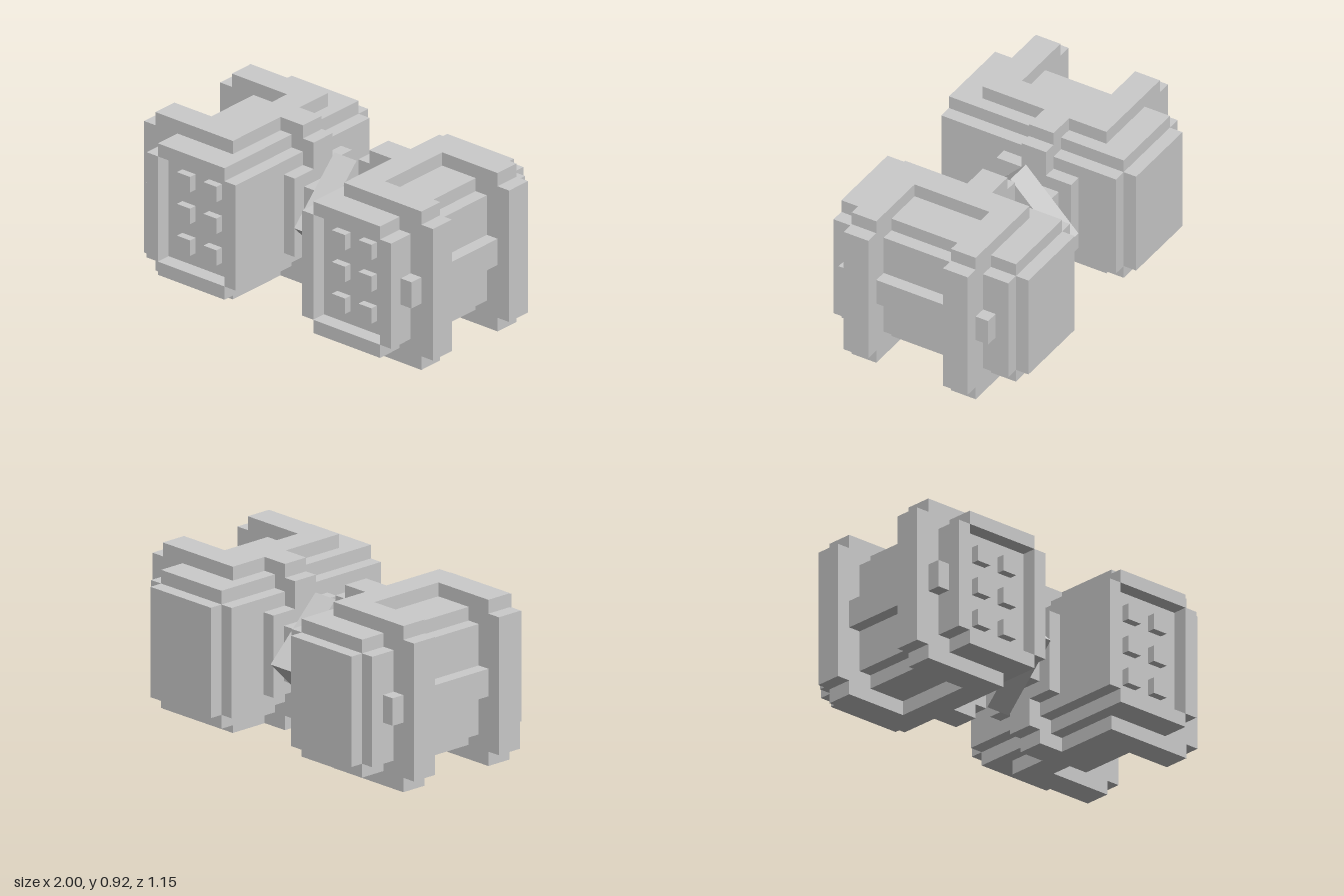
import * as THREE from 'three';

const grey = new THREE.MeshStandardMaterial({ color: 0xcccccc, flatShading: true });

// Box from its limits on each axis
function block(parent, name, [x0, x1], [y0, y1], [z0, z1]) {
  const mesh = new THREE.Mesh(new THREE.BoxGeometry(Math.abs(x1 - x0), y1 - y0, z1 - z0), grey);
  mesh.name = name;
  mesh.position.set((x0 + x1) / 2, (y0 + y1) / 2, (z0 + z1) / 2);
  parent.add(mesh);
  return mesh;
}

// Rectangle with notched corners, extruded along z, with an optional window
function notchedSlab(parent, name, s, [z0, z1], windowed) {
  const [a, b, c, d] = [0.23, 0.307, 0.769, 0.846].map(x => x * s);
  const [e, f, g, h] = [0.08, 0.157, 0.77, 0.846];
  const toPoints = list => list.map(p => new THREE.Vector2(...p));
  const shape = new THREE.Shape(toPoints([
    [b, e], [c, e], [c, f], [d, f], [d, g], [c, g], [c, h], [b, h], [b, g], [a, g], [a, f], [b, f],
  ]));
  if (windowed) shape.holes.push(new THREE.Path(toPoints([[b, f], [b, g], [c, g], [c, f]])));
  const geometry = new THREE.ExtrudeGeometry(shape, { depth: z1 - z0, bevelEnabled: false });
  const mesh = new THREE.Mesh(geometry, grey);
  mesh.name = name;
  mesh.position.z = z0;
  parent.add(mesh);
}

// One pod; s = 1 for the left side, -1 for the right
function makePod(s) {
  const pod = new THREE.Group();
  pod.name = s > 0 ? 'leftPod' : 'rightPod';
  const add = (name, x, y, z) => block(pod, name, x.map(v => v * s), y, z);

  // Notched body running front to back, ending in a windowed frame
  notchedSlab(pod, 'body', s, [-0.5, 0.49], false);
  notchedSlab(pod, 'frontFrame', s, [0.49, 0.577], true);
  add('rearPlate', [0.307, 0.769], [0.157, 0.77], [-0.577, -0.5]);

  // Two columns of studs on the recessed front panel
  for (const x of [0.445, 0.628]) {
    for (const y of [0.278, 0.463, 0.648]) {
      add('stud', [x - 0.045, x + 0.045], [y - 0.045, y + 0.045], [0.49, 0.535]);
    }
  }

  // Front and rear flanges with cut corners, joined by an outer bar
  for (const [z0, z1] of [[0.268, 0.42], [-0.345, -0.193]]) {
    add('flange', [0.385, 0.92], [0, 0.923], [z0, z1]);
    add('flangeRim', [0.92, 1], [0.08, 0.846], [z0, z1]);
  }
  add('outerBar', [0.846, 0.92], [0.387, 0.54], [-0.193, 0.268]);
  add('frontLug', [0.846, 0.92], [0.387, 0.54], [0.42, 0.5]);
  add('rearLug', [0.846, 0.92], [0.387, 0.54], [-0.422, -0.345]);

  // Raised webs joining the flanges, and the strap around the inner side
  add('web', [0.385, 0.537], [0, 0.923], [-0.193, 0.268]);
  add('strap', [0.23, 0.385], [0, 0.923], [-0.115, 0.037]);
  add('strapInner', [0.155, 0.23], [0.08, 0.846], [-0.115, 0.037]);

  // Inner mounting plate and hub
  add('mountPlate', [0.155, 0.23], [0.235, 0.692], [-0.27, 0.19]);
  add('hub', [0.075, 0.155], [0.31, 0.617], [-0.193, 0.113]);
  return pod;
}

export function createModel() {
  const model = new THREE.Group();
  model.name = 'twinPods';
  model.add(makePod(1), makePod(-1));

  // Square centre joint standing on its corner
  const joint = block(model, 'centreJoint', [-0.077, 0.077], [0.233, 0.691], [-0.268, 0.19]);
  joint.rotation.x = Math.PI / 4;
  return model;
}
